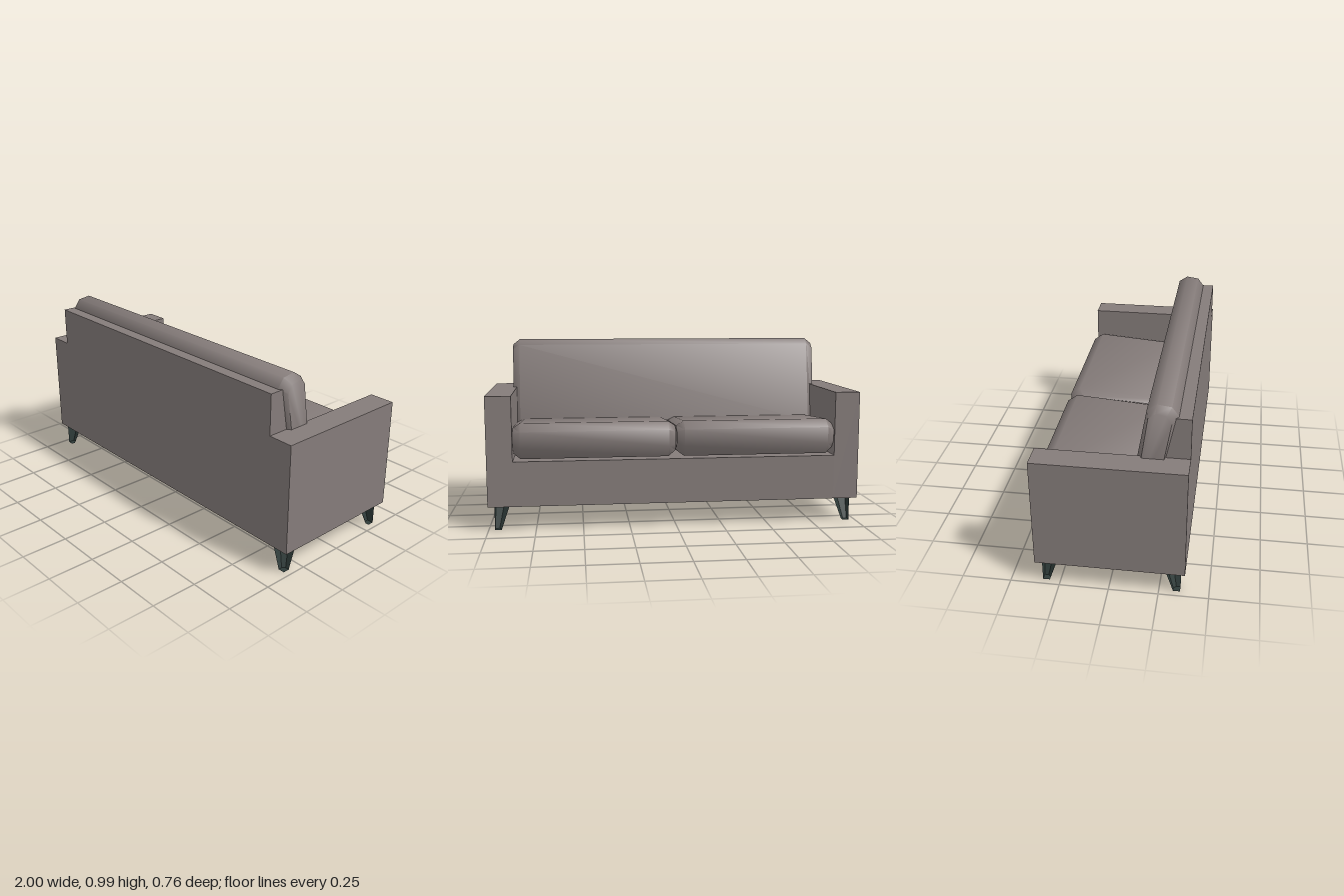
import * as THREE from 'three';
import { toCreasedNormals } from 'three/addons/utils/BufferGeometryUtils.js';

// Skin a row of equal-length closed rings of [x, y, z] points, capping both ends.
function loft(rings, crease) {
  const n = rings[0].length, idx = [];
  for (let r = 0; r < rings.length - 1; r++) {
    for (let i = 0; i < n; i++) {
      const a = r * n + i, b = r * n + (i + 1) % n;
      idx.push(a, b, b + n, a, b + n, a + n);
    }
  }
  const last = (rings.length - 1) * n;
  for (let i = 1; i < n - 1; i++) {
    idx.push(0, i + 1, i, last, last + i, last + i + 1);
  }
  const geo = new THREE.BufferGeometry();
  geo.setAttribute('position', new THREE.Float32BufferAttribute(rings.flat(2), 3));
  geo.setIndex(idx);
  return toCreasedNormals(geo, crease);
}

// Extend a [z, y] profile along x; bevelled ends use a shrunken copy of it.
function alongX(profile, x0, x1, bevel = 0, inset = 0) {
  const zs = profile.map(p => p[0]), ys = profile.map(p => p[1]);
  const mid = a => (Math.min(...a) + Math.max(...a)) / 2;
  const size = a => Math.max(...a) - Math.min(...a);
  const cz = mid(zs), cy = mid(ys);
  const kz = 1 - 2 * inset / size(zs), ky = 1 - 2 * inset / size(ys);
  const ring = (x, small) => profile.map(([z, y]) =>
    small ? [x, cy + (y - cy) * ky, cz + (z - cz) * kz] : [x, y, z]);
  return bevel
    ? loft([ring(x0, true), ring(x0 + bevel, false), ring(x1 - bevel, false), ring(x1, true)], 0.95)
    : loft([ring(x0, false), ring(x1, false)], 0.3);
}

export function createModel() {
  const group = new THREE.Group();
  const fabric = new THREE.MeshStandardMaterial({ color: 0x857c7a });
  fabric.name = 'greyFabric';
  const wood = new THREE.MeshStandardMaterial({ color: 0x2d3a38 });
  wood.name = 'darkLegs';

  const add = (name, geo, mat = fabric) => {
    const mesh = new THREE.Mesh(geo, mat);
    mesh.name = name;
    group.add(mesh);
    return mesh;
  };

  // Frame: seat base, arms and a back panel with a sloping inner face
  add('seatBase', new THREE.BoxGeometry(1.73, 0.24, 0.75)).position.set(0, 0.25, 0.005);
  for (const s of [-1, 1]) {
    add(s > 0 ? 'leftArm' : 'rightArm', new THREE.BoxGeometry(0.135, 0.585, 0.75))
      .position.set(s * 0.9325, 0.4225, 0.005);
  }
  add('backPanel', alongX([[0.19, 0.37], [0.305, 0.927], [0.38, 0.927], [0.38, 0.37]], -0.865, 0.865));

  // Long leaning back cushion
  add('backCushion', alongX([
    [0.09, 0.5], [0.168, 0.955], [0.215, 0.986], [0.285, 0.976],
    [0.318, 0.93], [0.222, 0.47], [0.16, 0.44],
  ], -0.885, 0.885, 0.037, 0.03));

  // Two seat cushions, slightly lower towards the back
  const seat = [[-0.345, 0.38], [-0.384, 0.44], [-0.384, 0.528], [-0.33, 0.568],
    [0.15, 0.53], [0.18, 0.5], [0.18, 0.38]];
  add('leftSeatCushion', alongX(seat, 0.002, 0.864, 0.04, 0.028));
  add('rightSeatCushion', alongX(seat, -0.864, -0.002, 0.04, 0.028));

  // Tapered legs: straight on the outside, sloping in with a cut inner corner
  for (const sx of [-1, 1]) {
    for (const sz of [-1, 1]) {
      const ox = 0.967, oz = sz > 0 ? 0.356 : 0.34;
      const ring = (y, w) => {
        const pts = [[0, 0], [w, 0], [w, w * 0.6], [w * 0.6, w], [0, w]]
          .map(([a, b]) => [sx * (ox - a), y, sz * (oz - b)]);
        return sx * sz > 0 ? pts.reverse() : pts;
      };
      add((sz > 0 ? 'back' : 'front') + (sx > 0 ? 'Left' : 'Right') + 'Leg',
        loft([ring(0, 0.035), ring(0.13, 0.079)].map(r => r.reverse()), 0.3), wood);
    }
  }
  return group;
}
